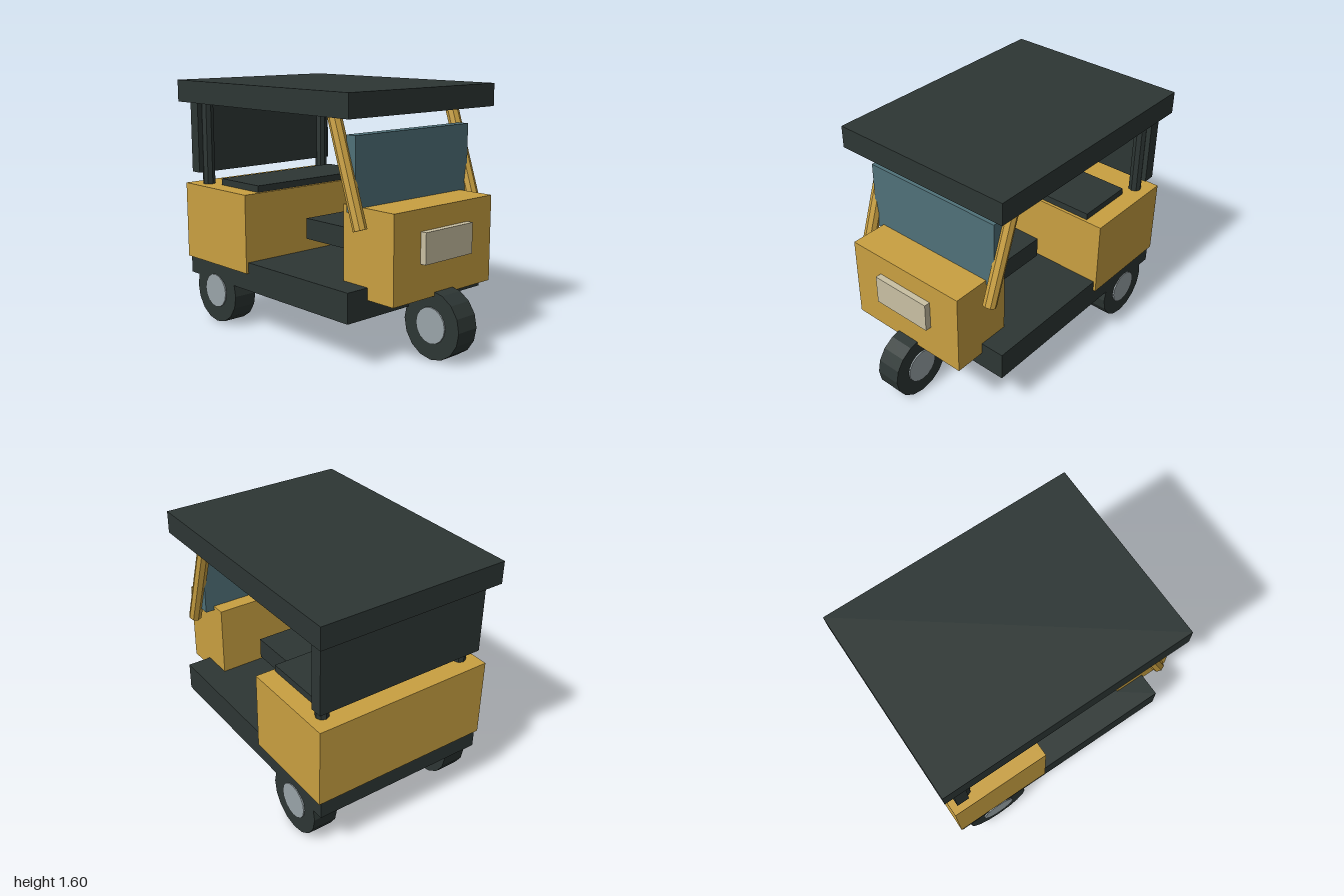
import * as THREE from 'three';

const paint = (name, color) => {
  const material = new THREE.MeshStandardMaterial({ color });
  material.name = name;
  return material;
};

export function createModel() {
  const yellow = paint('yellow body', 0xc9a041);
  const dark = paint('dark charcoal', 0x2d3634);
  const glass = paint('blue glass', 0x4f7078);
  const lampCream = paint('lamp cream', 0xc9c0a3);
  const hubGrey = paint('hub grey', 0x9aa5a9);

  const model = new THREE.Group();
  model.name = 'threeWheeler';

  const add = (parent, name, geometry, material) => {
    const mesh = new THREE.Mesh(geometry, material);
    mesh.name = name;
    parent.add(mesh);
    return mesh;
  };

  // Box centred on x, given by half width and its y and z ranges
  const box = (name, halfWidth, y0, y1, z0, z1, material) => {
    const geometry = new THREE.BoxGeometry(2 * halfWidth, y1 - y0, z1 - z0);
    add(model, name, geometry, material).position.set(0, (y0 + y1) / 2, (z0 + z1) / 2);
  };

  // Faceted cylinder
  const prism = (radius, length, sides) => {
    const geometry = new THREE.CylinderGeometry(radius, radius, length, sides).toNonIndexed();
    geometry.computeVertexNormals();
    return geometry;
  };

  // Straight pole between two points
  const pole = (name, from, to, radius, material) => {
    const direction = to.clone().sub(from);
    const mesh = add(model, name, prism(radius, direction.length(), 8), material);
    mesh.position.copy(from).add(to).multiplyScalar(0.5);
    mesh.quaternion.setFromUnitVectors(new THREE.Vector3(0, 1, 0), direction.normalize());
  };

  // Tyre with a hub showing on both sides
  const wheel = (name, x, z) => {
    const group = new THREE.Group();
    group.name = name;
    add(group, 'tyre', prism(0.213, 0.16, 16), dark);
    add(group, 'hub', prism(0.112, 0.178, 16), hubGrey);
    group.rotation.z = Math.PI / 2;
    group.position.set(x, 0.215, z);
    model.add(group);
  };

  // Chassis and bodywork
  box('floor', 0.583, 0.29, 0.475, -0.96, 0.605, dark);
  box('frontBody', 0.425, 0.4, 0.937, 0.4, 0.81, yellow);
  box('rearBody', 0.6, 0.405, 0.912, -0.97, -0.315, yellow);
  box('headlamp', 0.205, 0.615, 0.805, 0.805, 0.85, lampCream);
  box('windscreen', 0.485, 0.908, 1.352, 0.493, 0.565, glass);

  // Seats
  box('driverSeat', 0.225, 0.6, 0.735, -0.165, 0.255, dark);
  box('passengerSeat', 0.48, 0.9, 0.955, -0.73, -0.335, dark);

  // Canopy
  box('roof', 0.622, 1.457, 1.6, -1, 0.655, dark);
  box('rearPanel', 0.573, 0.99, 1.465, -0.93, -0.85, dark);

  for (const [side, s] of [['left', 1], ['right', -1]]) {
    pole(side + 'FrontPillar', new THREE.Vector3(s * 0.502, 0.825, 0.622),
      new THREE.Vector3(s * 0.502, 1.5, 0.395), 0.042, yellow);
    pole(side + 'RearPost', new THREE.Vector3(s * 0.5, 0.9, -0.846),
      new THREE.Vector3(s * 0.5, 1.5, -0.846), 0.041, dark);
    wheel(side + 'RearWheel', s * 0.5, -0.68);
  }
  wheel('frontWheel', 0, 0.787);

  return model;
}
